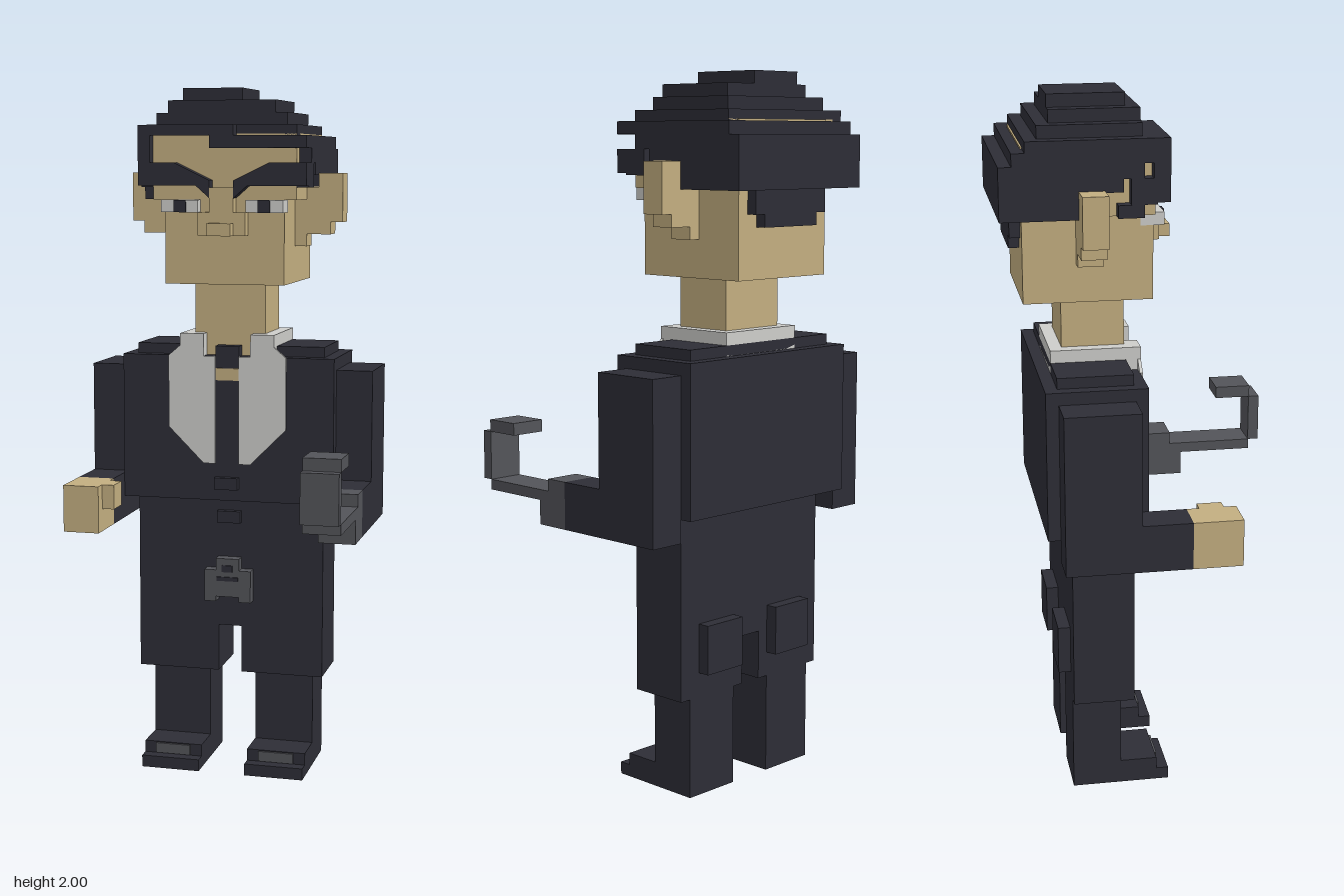
import * as THREE from 'three';

const mat = (name, color) => {
  const m = new THREE.MeshStandardMaterial({ color });
  m.name = name;
  return m;
};

export function createModel() {
  const root = new THREE.Group();
  root.name = 'suitedFigure';
  const dark = mat('darkSuit', 0x2d2d36);
  const skin = mat('skin', 0xc3ae80);
  const grey = mat('greyMetal', 0x535459);
  const white = mat('shirtWhite', 0xcdcdca);

  // Box given by its minimum and maximum on each axis
  const box = (name, m, x0, x1, y0, y1, z0, z1) => {
    const mesh = new THREE.Mesh(new THREE.BoxGeometry(x1 - x0, y1 - y0, z1 - z0), m);
    mesh.position.set((x0 + x1) / 2, (y0 + y1) / 2, (z0 + z1) / 2);
    mesh.name = name;
    root.add(mesh);
  };
  // The same box on both sides of the body
  const pair = (name, m, x0, x1, ...yz) => {
    box(name + 'Left', m, x0, x1, ...yz);
    box(name + 'Right', m, -x1, -x0, ...yz);
  };
  // Extruded outline on both sides of the body
  const platePair = (name, m, pts, z0, z1) => {
    for (const s of [1, -1]) {
      const shape = new THREE.Shape(pts.map(([x, y]) => new THREE.Vector2(x * s, y)));
      const mesh = new THREE.Mesh(
        new THREE.ExtrudeGeometry(shape, { depth: z1 - z0, bevelEnabled: false }), m);
      mesh.position.z = z0;
      mesh.name = name + (s > 0 ? 'Left' : 'Right');
      root.add(mesh);
    }
  };

  // Legs, shoes and trousers
  pair('lowerLeg', dark, 0.07, 0.245, 0, 0.285, -0.245, -0.105);
  pair('shoeSole', dark, 0.07, 0.245, 0, 0.035, -0.105, 0.035);
  pair('shoeUpper', dark, 0.07, 0.245, 0.035, 0.07, -0.105, 0);
  pair('shoeBuckle', grey, 0.105, 0.21, 0.037, 0.067, -0.03, 0.006);
  pair('trouserLeg', dark, 0.035, 0.28, 0.285, 0.425, -0.245, -0.07);
  box('trousers', dark, -0.28, 0.28, 0.425, 0.81, -0.245, -0.07);
  pair('backPocket', dark, 0.07, 0.21, 0.355, 0.495, -0.28, -0.245);

  // Arched front ornament
  pair('ornamentSide', grey, 0.035, 0.07, 0.505, 0.6, -0.07, -0.035);
  box('ornamentCentre', grey, -0.035, 0.035, 0.52, 0.635, -0.07, -0.035);
  box('ornamentSlot', dark, -0.032, 0.032, 0.568, 0.58, -0.036, -0.031);
  box('ornamentDot', dark, -0.016, 0.016, 0.595, 0.615, -0.036, -0.031);

  // Jacket and buttons
  box('jacket', dark, -0.315, 0.315, 0.81, 1.235, -0.315, -0.035);
  box('shoulders', dark, -0.28, 0.28, 1.235, 1.265, -0.28, -0.07);
  box('upperButton', dark, -0.035, 0.035, 0.845, 0.88, -0.035, -0.015);
  box('lowerButton', dark, -0.035, 0.035, 0.74, 0.775, -0.07, -0.05);

  // Shirt lapels, collar and open neck
  platePair('lapel', white, [[0.035, 0.92], [0.07, 0.92], [0.175, 1.025], [0.175, 1.235],
    [0.14, 1.265], [0.14, 1.3], [0.07, 1.3], [0.07, 1.235], [0.035, 1.235]], -0.037, -0.028);
  pair('collarFront', white, 0.07, 0.14, 1.235, 1.3, -0.07, -0.036);
  pair('collarSide', white, 0.105, 0.14, 1.235, 1.3, -0.28, -0.07);
  box('collarBack', white, -0.105, 0.105, 1.235, 1.3, -0.28, -0.245);
  box('throatPatch', skin, -0.035, 0.035, 1.165, 1.2, -0.036, -0.031);
  box('neckTie', dark, -0.035, 0.035, 1.235, 1.265, -0.07, -0.035);
  box('neck', skin, -0.105, 0.105, 1.235, 1.445, -0.245, -0.07);

  // Arms
  pair('upperArm', dark, 0.315, 0.42, 0.745, 1.2, -0.28, -0.07);
  pair('forearm', dark, 0.315, 0.42, 0.745, 0.88, -0.07, 0.07);
  box('rightHand', skin, -0.42, -0.315, 0.745, 0.88, 0.07, 0.21);
  box('rightThumb', skin, -0.315, -0.28, 0.81, 0.88, 0.105, 0.175);

  // Hook on the left arm
  box('hookCuff', grey, 0.315, 0.42, 0.745, 0.88, 0.07, 0.14);
  box('hookCuffEnd', grey, 0.315, 0.42, 0.745, 0.845, 0.14, 0.175);
  box('hookShank', grey, 0.315, 0.42, 0.815, 0.845, 0.175, 0.39);
  box('hookUpright', grey, 0.315, 0.42, 0.845, 0.985, 0.388, 0.42);
  box('hookTip', grey, 0.315, 0.42, 0.985, 1.02, 0.285, 0.39);

  // Head
  box('head', skin, -0.175, 0.175, 1.445, 1.87, -0.355, 0);
  box('browBand', skin, -0.21, 0.21, 1.685, 1.87, -0.35, 0);
  platePair('ear', skin, [[0.175, 1.55], [0.21, 1.55], [0.21, 1.585], [0.28, 1.585],
    [0.28, 1.62], [0.315, 1.62], [0.315, 1.76], [0.245, 1.76], [0.245, 1.72],
    [0.175, 1.72]], -0.21, -0.14);
  box('noseBridge', skin, -0.035, 0.035, 1.62, 1.72, 0, 0.035);
  box('noseTip', skin, -0.035, 0.035, 1.585, 1.62, 0, 0.07);
  pair('nostril', skin, 0.035, 0.07, 1.585, 1.65, 0, 0.035);
  pair('eyeWhite', white, 0.07, 0.178, 1.65, 1.685, -0.035, 0.03);
  pair('pupil', dark, 0.105, 0.14, 1.65, 1.685, 0.028, 0.035);

  // Slanted eyebrows wrapping round the temples
  platePair('eyebrow', dark, [[0.245, 1.79], [0.14, 1.79], [0.035, 1.74], [0.035, 1.69],
    [0.075, 1.725], [0.245, 1.725]], 0, 0.035);
  pair('temple', dark, 0.21, 0.245, 1.72, 1.79, -0.07, 0);
  box('rightSideburn', dark, -0.245, -0.21, 1.685, 1.72, -0.105, -0.035);

  // Hair as stepped layers: x0, x1, y0, y1, z0, z1
  [
    [-0.14, 0.035, 1.965, 2.0, -0.28, -0.07],
    [-0.175, 0.14, 1.93, 1.965, -0.28, -0.035],
    [-0.21, 0.175, 1.895, 1.93, -0.315, -0.035],
    [-0.245, 0.21, 1.865, 1.895, -0.35, 0],
    [-0.245, 0.245, 1.83, 1.865, -0.385, -0.01],
  ].forEach((b, i) => box('hairLayer' + (i + 1), dark, ...b));
  box('fringeRight', dark, -0.245, 0.035, 1.865, 1.895, 0, 0.035);
  box('fringeLeft', dark, -0.035, 0.245, 1.83, 1.865, -0.01, 0.035);
  box('fringeEdge', dark, -0.245, -0.21, 1.79, 1.865, -0.01, 0.035);
  pair('hairSideUpper', dark, 0.2, 0.245, 1.79, 1.83, -0.385, -0.035);
  pair('hairSideMiddle', dark, 0.2, 0.245, 1.755, 1.79, -0.385, -0.09);
  pair('hairSideLower', dark, 0.2, 0.245, 1.685, 1.755, -0.385, -0.21);
  box('hairBack', dark, -0.245, 0.245, 1.685, 1.83, -0.42, -0.35);
  box('napeUpper', dark, -0.14, 0.14, 1.62, 1.685, -0.385, -0.355);
  box('napeLower', dark, -0.105, 0.105, 1.585, 1.62, -0.385, -0.355);

  return root;
}
